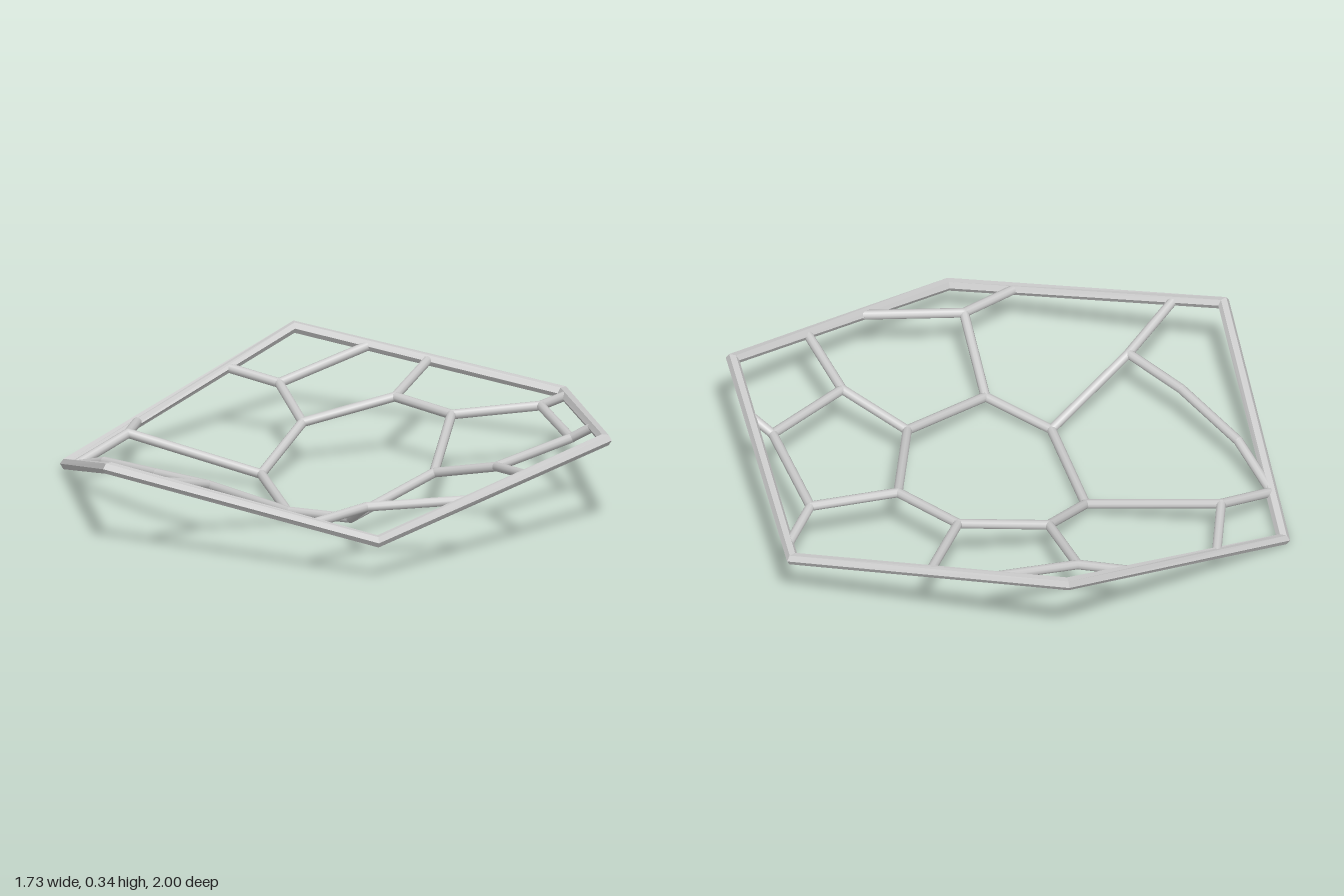
import * as THREE from 'three';

const RIM = 0.021;      // rim section radius
const STRUT = 0.0165;   // inner rod radius
const REACH = 0.976;    // centre to rim corner

const material = new THREE.MeshStandardMaterial({ color: 0xcccccc });
const flat = new THREE.MeshStandardMaterial({ color: 0xcccccc, flatShading: true });

// Hexagon corners, counted from the front corner towards +x
const corners = [0.298, 0.148, 0.324, 0.202, 0.324, 0.021].map((y, k) => {
  const a = k * Math.PI / 3;
  return new THREE.Vector3(REACH * Math.sin(a), y, REACH * Math.cos(a));
});

// Point on rim side k, t from its first corner to the next
const onRim = (k, t) => corners[k].clone().lerp(corners[(k + 1) % 6], t);

// Closed mitred sweep of a six-sided section round the corners
function rimGeometry() {
  const sides = 6, pos = [], index = [];
  corners.forEach((c, k) => {
    const a = k * Math.PI / 3;
    for (let j = 0; j < sides; j++) {
      const s = j * 2 * Math.PI / sides;
      const out = RIM * Math.cos(s) / Math.cos(Math.PI / 6);
      pos.push(c.x + out * Math.sin(a), c.y + RIM * Math.sin(s), c.z + out * Math.cos(a));
      const k2 = (k + 1) % 6, j2 = (j + 1) % sides;
      const p = k * sides + j, q = k2 * sides + j, r = k2 * sides + j2, t = k * sides + j2;
      index.push(p, q, r, p, r, t);
    }
  });
  const g = new THREE.BufferGeometry();
  g.setAttribute('position', new THREE.Float32BufferAttribute(pos, 3));
  g.setIndex(index);
  g.computeVertexNormals();
  return g;
}

function rod(a, b) {
  const dir = b.clone().sub(a);
  const mesh = new THREE.Mesh(new THREE.CylinderGeometry(STRUT, STRUT, dir.length(), 10), material);
  mesh.position.copy(a).add(b).multiplyScalar(0.5);
  mesh.quaternion.setFromUnitVectors(new THREE.Vector3(0, 1, 0), dir.normalize());
  mesh.name = 'strut';
  return mesh;
}

export function createModel() {
  const model = new THREE.Group();
  model.name = 'hexagonalLattice';

  const rim = new THREE.Mesh(rimGeometry(), flat);
  rim.name = 'hexagonalRim';
  model.add(rim);

  // Free joints of the web
  const v = (x, y, z) => new THREE.Vector3(x, y, z);
  const joints = {
    a: v(0.15, 0.23, -0.76), b: v(0.02, 0.22, -0.48), c: v(-0.25, 0.225, -0.45),
    d: v(-0.39, 0.155, -0.165), e: v(-0.67, 0.205, -0.285), f: v(-0.28, 0.048, 0.10),
    g: v(0.11, 0.045, 0.295), h: v(0.37, 0.07, 0.23), i: v(0.33, 0.148, -0.16),
    j: v(0.58, 0.215, -0.23), k: v(0.53, 0.237, -0.59), l: v(0.64, 0.2, 0.375),
    m: v(-0.68, 0.145, 0.355), p: v(0.10, 0.2, 0.635),
    q: v(-0.15, 0.183, 0.65), r: v(-0.46, 0.148, 0.63),
  };
  // Ends that meet the rim
  const ends = {
    A: onRim(2, 0.93), K: onRim(2, 0.28), J: onRim(1, 0.655), L: onRim(1, 0.41),
    M: onRim(0, 0.757), P: onRim(0, 0.18), N: onRim(5, 0.2), F: onRim(4, 0.69),
    E: onRim(4, 0.295), D: onRim(3, 0.72), C: onRim(3, 0.5),
  };
  const all = { ...joints, ...ends };

  const web = new THREE.Group();
  web.name = 'innerWeb';
  const links = 'ab ak kj ji ib ih hg hl gf gp fd dc cb de fm mN Nr rq qp '
    + 'aA kK jJ lL lM pP mF eE eD cC';
  for (const [s, t] of links.split(' ')) web.add(rod(all[s], all[t]));

  // Rounded joints close the gaps between rods
  for (const p of Object.values(joints)) {
    const ball = new THREE.Mesh(new THREE.SphereGeometry(STRUT, 10, 8), material);
    ball.position.copy(p);
    ball.name = 'joint';
    web.add(ball);
  }
  model.add(web);
  return model;
}
